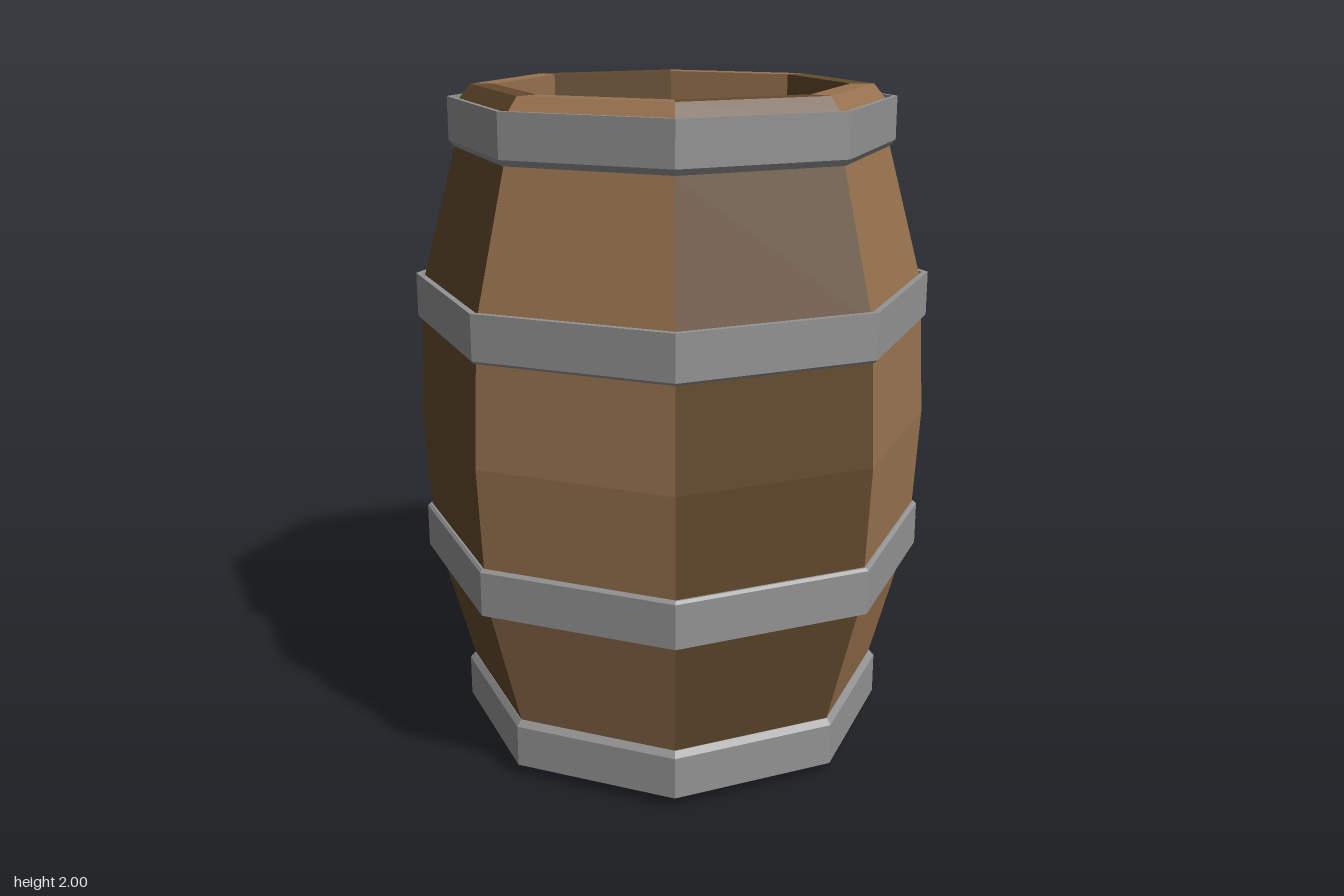
import * as THREE from 'three';

const SIDES = 8;
const HEIGHT = 2;
const LID_DEPTH = 0.1;

function material(name, color) {
  const m = new THREE.MeshStandardMaterial({ color, flatShading: true });
  m.name = name;
  return m;
}

// Flip a profile about mid height, keeping it running bottom to top
const mirrored = (profile) => profile.map(([r, y]) => [r, HEIGHT - y]).reverse();

// Eight-sided, hard-edged solid of revolution
function lathe(profile) {
  const points = profile.map(([r, y]) => new THREE.Vector2(r, y));
  const geometry = new THREE.LatheGeometry(points, SIDES).toNonIndexed();
  geometry.computeVertexNormals();
  return geometry;
}

export function createModel() {
  const lightWood = material('lightWood', 0x98734f);
  const darkWood = material('darkWood', 0x634a2d);
  const metal = material('metal', 0x939393);

  const barrel = new THREE.Group();
  barrel.name = 'barrel';

  const add = (name, geometry, mat) => {
    const mesh = new THREE.Mesh(geometry, mat);
    mesh.name = name;
    barrel.add(mesh);
    return mesh;
  };

  // Staves: bulging wall, bevelled rim and inner lip, alternating dark and light
  const upper = [
    [0.755, 1.41], [0.643, 1.82], [0.648, 1.93], [0.59, 2], [0.52, 2], [0.52, 2 - LID_DEPTH],
  ];
  const profile = [...mirrored(upper), [0.777, 1], ...upper];
  const staves = lathe(profile);
  const perSide = (profile.length - 1) * 6;
  for (let i = 0; i < SIDES; i++) staves.addGroup(i * perSide, perSide, i % 2);
  add('staves', staves, [darkWood, lightWood]);

  // Recessed lids at both ends
  const lid = new THREE.CircleGeometry(0.52, SIDES);
  const top = add('topLid', lid, darkWood);
  top.rotation.x = -Math.PI / 2;
  top.position.y = HEIGHT - LID_DEPTH;
  const bottom = add('bottomLid', lid, darkWood);
  bottom.rotation.x = Math.PI / 2;
  bottom.position.y = LID_DEPTH;

  // Thin metal hoops standing just clear of the wood, mirrored top to bottom
  const hoops = {
    EndHoop: [
      [0.63, 1.82], [0.645, 1.82], [0.66, 1.838], [0.66, 1.965], [0.645, 1.965], [0.645, 1.92],
    ],
    MiddleHoop: [
      [0.74, 1.3], [0.767, 1.3], [0.775, 1.308], [0.775, 1.44], [0.756, 1.44], [0.754, 1.4],
    ],
  };
  for (const [name, shape] of Object.entries(hoops)) {
    add('upper' + name, lathe(shape), metal);
    add('lower' + name, lathe(mirrored(shape)), metal);
  }

  return barrel;
}
